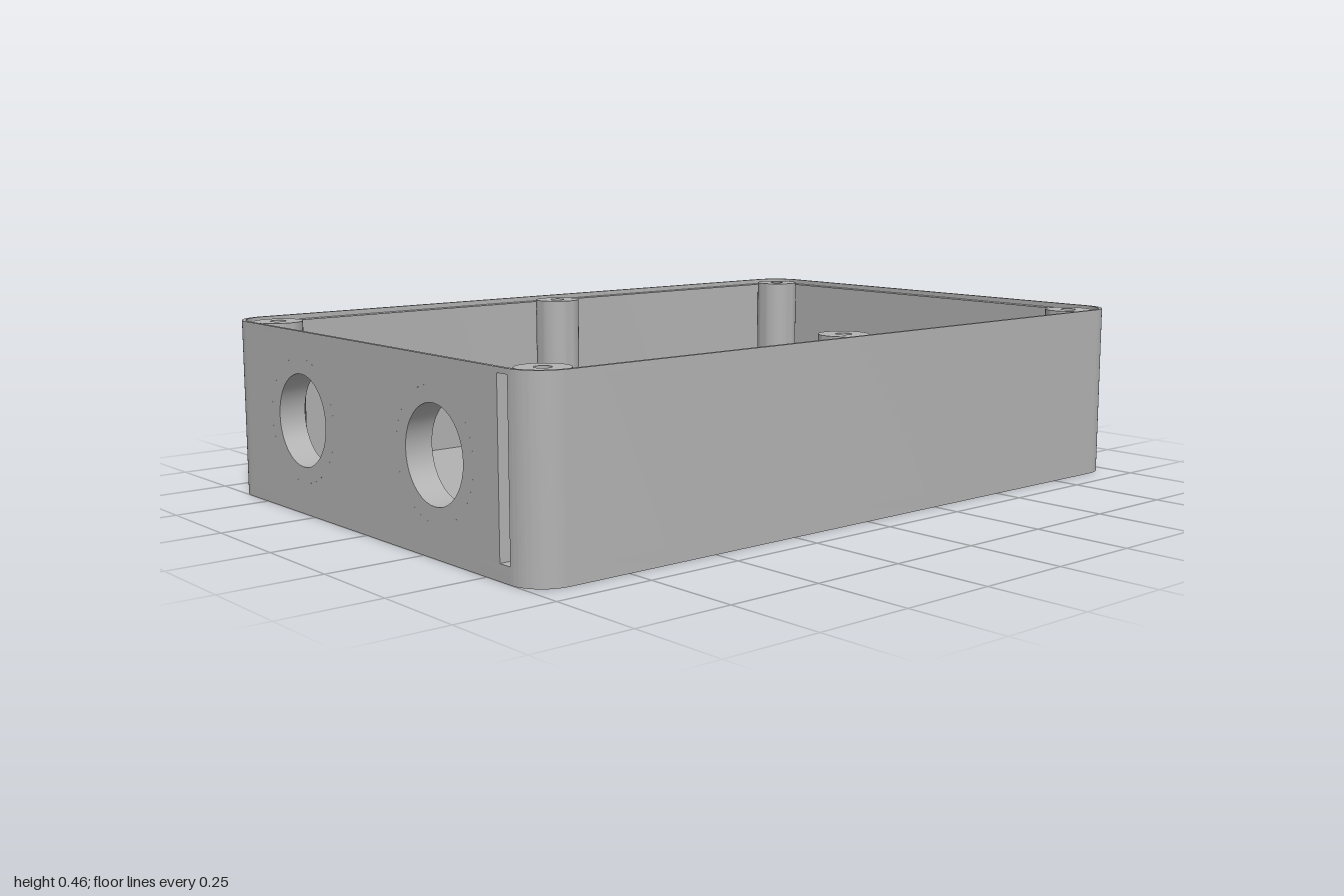
import * as THREE from 'three';
import { toCreasedNormals } from 'three/addons/utils/BufferGeometryUtils.js';

const HX = 1, HZ = 0.678, R = 0.09;          // outer footprint
const WALL = 0.036, FLOOR = 0.04;            // thicknesses
const LEDGE = 0.447, TOP = 0.46;             // wall ledge and lip heights
const PORT_Z = 0.3, PORT_Y = 0.237, PORT_R = 0.157;

const plastic = new THREE.MeshStandardMaterial({ color: 0xb2b2b2 });
plastic.name = 'greyPlastic';

function add(group, name, geometry, x = 0, y = 0, z = 0) {
  const mesh = new THREE.Mesh(toCreasedNormals(geometry, 0.5), plastic);
  mesh.name = name;
  mesh.position.set(x, y, z);
  group.add(mesh);
  return mesh;
}

// Rounded rectangle inset from the footprint
function roundedRect(inset, path = new THREE.Shape()) {
  const x = HX - inset, z = HZ - inset, r = R - inset, q = Math.PI / 2;
  path.moveTo(-x, -z + r);
  path.absarc(-x + r, -z + r, r, 2 * q, 3 * q);
  path.absarc(x - r, -z + r, r, 3 * q, 4 * q);
  path.absarc(x - r, z - r, r, 0, q);
  path.absarc(-x + r, z - r, r, q, 2 * q);
  path.closePath();
  return path;
}

// Wall outline left open along the -x side, between z = -gap and z = gap
function openWall(gap) {
  const s = new THREE.Shape(), q = Math.PI / 2;
  const xi = HX - WALL, zi = HZ - WALL, r = R - WALL;
  s.moveTo(-HX, -gap);
  s.absarc(-HX + R, -HZ + R, R, 2 * q, 3 * q);
  s.absarc(HX - R, -HZ + R, R, 3 * q, 4 * q);
  s.absarc(HX - R, HZ - R, R, 0, q);
  s.absarc(-HX + R, HZ - R, R, q, 2 * q);
  s.lineTo(-HX, gap);
  s.lineTo(-xi, gap);
  s.absarc(-xi + r, zi - r, r, 2 * q, q, true);
  s.absarc(xi - r, zi - r, r, q, 0, true);
  s.absarc(xi - r, -zi + r, r, 4 * q, 3 * q, true);
  s.absarc(-xi + r, -zi + r, r, 3 * q, 2 * q, true);
  s.lineTo(-xi, -gap);
  s.closePath();
  return s;
}

const extrude = (shape, depth) =>
  new THREE.ExtrudeGeometry(shape, { depth, bevelEnabled: false, curveSegments: 16 });
const extrudeUp = (shape, height) => extrude(shape, height).rotateX(-Math.PI / 2);
const lathe = (points) =>
  new THREE.LatheGeometry(points.map(([r, y]) => new THREE.Vector2(r, y)), 40);

export function createModel() {
  const model = new THREE.Group();
  model.name = 'enclosureBase';

  // Floor and walls
  add(model, 'floor', extrudeUp(roundedRect(0), FLOOR));
  add(model, 'walls', extrudeUp(openWall(0.55), LEDGE - FLOOR), 0, FLOOR, 0);

  // Thin lip around the rim
  const lip = roundedRect(0);
  lip.holes.push(roundedRect(0.01, new THREE.Path()));
  add(model, 'rimLip', extrudeUp(lip, TOP - LEDGE), 0, LEDGE, 0);

  // Side panel with two round ports
  const panel = new THREE.Shape();
  panel.moveTo(-0.55, FLOOR);
  panel.lineTo(0.55, FLOOR);
  panel.lineTo(0.55, LEDGE);
  panel.lineTo(-0.55, LEDGE);
  panel.closePath();
  for (const side of [-1, 1]) {
    panel.holes.push(new THREE.Path().absarc(side * PORT_Z, PORT_Y, PORT_R, 0, Math.PI * 2, true));
  }
  add(model, 'portPanel', extrude(panel, WALL).rotateY(-Math.PI / 2), -HX + WALL, 0, 0);

  // Port collars, flush outside and raised inside
  for (const side of [-1, 1]) {
    const collar = lathe([[PORT_R, 0], [PORT_R, 0.07], [0.117, 0.07], [0.117, 0], [PORT_R, 0]]);
    add(model, 'portCollar', collar.rotateZ(-Math.PI / 2), -HX, PORT_Y, side * PORT_Z);
  }

  // Lid screw posts
  for (const x of [-0.908, 0, 0.908]) {
    for (const z of [-0.587, 0.587]) {
      add(model, 'screwPost', lathe([
        [0.063, FLOOR], [0.063, 0.455], [0.02, 0.455], [0.02, 0.25], [0, 0.25],
      ]), x, 0, z);
    }
  }

  // Board standoffs with a stepped foot
  for (const x of [-0.686, 0.686]) {
    for (const z of [-0.4, 0.4]) {
      add(model, 'standoff', lathe([
        [0.06, FLOOR], [0.06, 0.06], [0.042, 0.06], [0.042, 0.13],
        [0.017, 0.13], [0.017, 0.06], [0, 0.06],
      ]), x, 0, z);
    }
  }

  return model;
}
